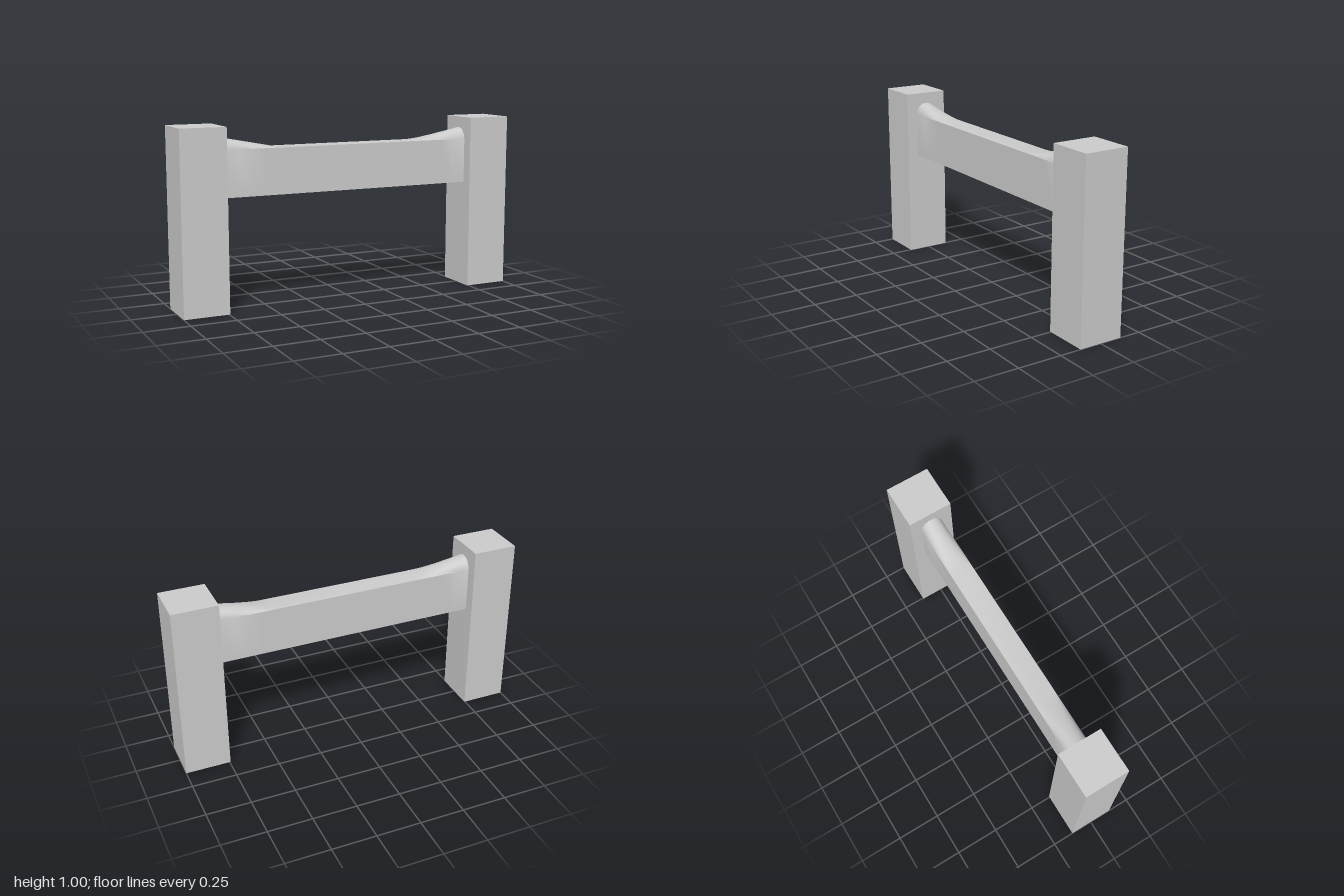
import * as THREE from 'three';
import { toCreasedNormals } from 'three/addons/utils/BufferGeometryUtils.js';

export function createModel() {
  const group = new THREE.Group();
  const material = new THREE.MeshStandardMaterial({ color: 0xcccccc });
  const post = 0.255, halfSpan = 1 - post, halfDepth = 0.064;
  const bottom = 0.617, top = 0.873, rampStart = 0.42;

  // Square end posts
  for (const side of [-1, 1]) {
    const mesh = new THREE.Mesh(new THREE.BoxGeometry(post, 1, post), material);
    mesh.name = side > 0 ? 'leftPost' : 'rightPost';
    mesh.position.set(side * (1 - post / 2), 0.5, 0);
    group.add(mesh);
  }

  // Rounded crown of the beam where it meets a post: [z, rise]
  const half = [[halfDepth, 0], [0.056, 0.027], [0.046, 0.043], [0.032, 0.056], [0.013, 0.063]];
  const crown = [...half, ...half.slice().reverse().map(([z, h]) => [-z, h])];

  // The crown flattens in a straight ramp towards the middle of the span
  const ends = [halfSpan, 0.66, 0.58, 0.5, rampStart];
  const stations = [...ends.map(x => -x), ...ends.slice().reverse()];
  const positions = [], index = [];
  const n = crown.length + 2;
  stations.forEach((x, i) => {
    const rise = Math.max(0, (Math.abs(x) - rampStart) / (halfSpan - rampStart));
    positions.push(x, bottom, halfDepth);
    for (const [z, h] of crown) positions.push(x, top + h * rise, z);
    positions.push(x, bottom, -halfDepth);
    if (i === stations.length - 1) return;
    for (let j = 0; j < n; j++) {
      const a = i * n + j, b = i * n + (j + 1) % n;
      index.push(a, a + n, b, b, a + n, b + n);
    }
  });
  // End caps against the posts
  const last = (stations.length - 1) * n;
  for (let j = 1; j < n - 1; j++) {
    index.push(0, j, j + 1, last, last + j + 1, last + j);
  }
  const geometry = new THREE.BufferGeometry();
  geometry.setAttribute('position', new THREE.Float32BufferAttribute(positions, 3));
  geometry.setIndex(index);
  const beam = new THREE.Mesh(toCreasedNormals(geometry, Math.PI / 6), material);
  beam.name = 'crossBeam';
  group.add(beam);

  return group;
}
